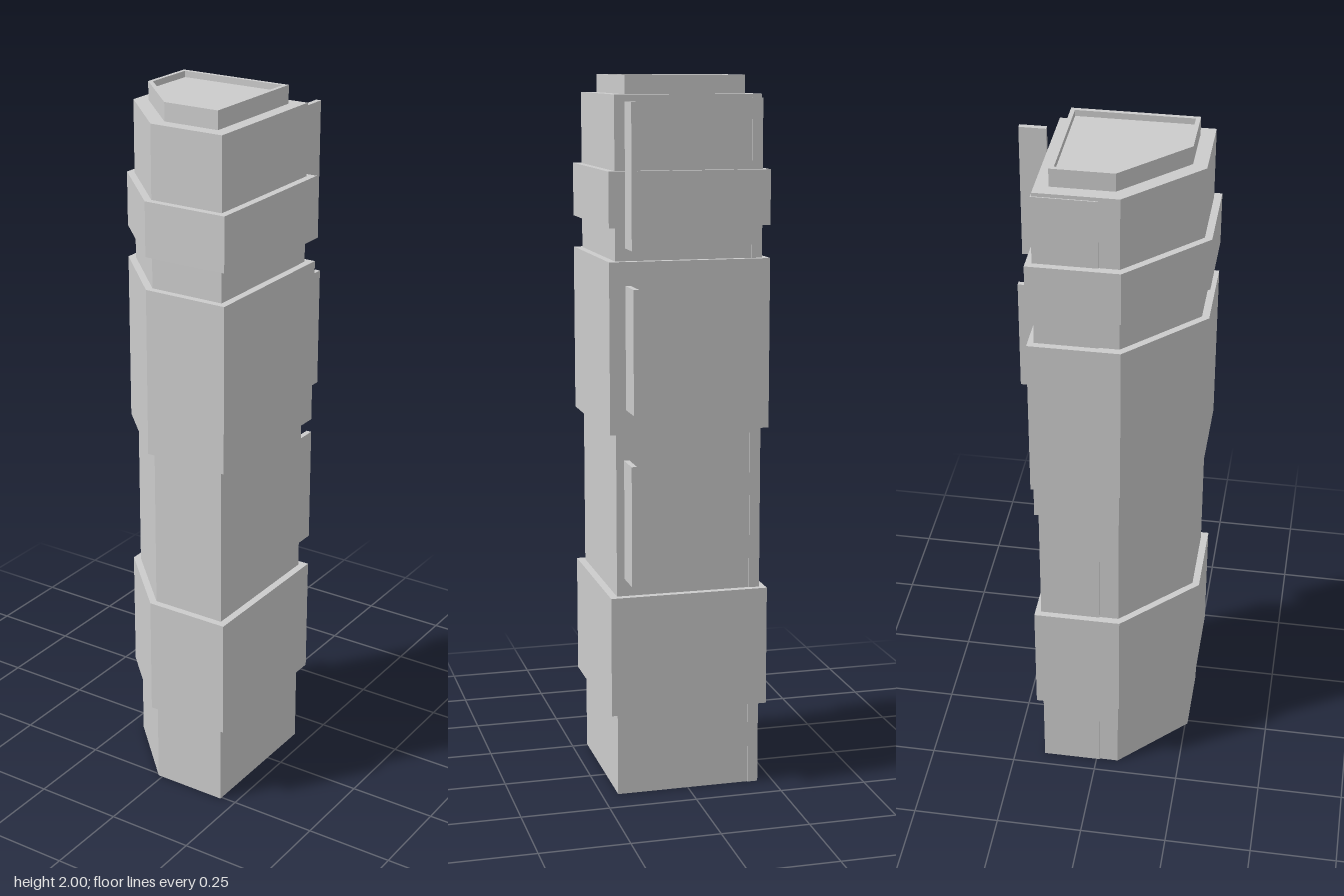
import * as THREE from 'three';

const material = new THREE.MeshStandardMaterial({ color: 0xcccccc, flatShading: true, side: THREE.DoubleSide });

// Square plan with one cut corner, as [x, z] points
const plan = (w, back, front, cutZ, cutX) => [[-w, cutZ], [cutX, front], [w, front], [w, back], [-w, back]];
const shaftPlan = plan(0.204, -0.157, 0.257, 0.065, -0.013);
const bandPlan = plan(0.225, -0.177, 0.277, 0.071, -0.02);
const rimPlan = plan(0.167, -0.12, 0.219, 0.048, 0.004);
const roofPlan = plan(0.155, -0.108, 0.207, 0.043, 0.008);

const toVectors = (points) => points.map(([x, z]) => new THREE.Vector2(x, -z));

// Upright prism from a plan, optionally hollow
function prism(outer, y0, y1, hole) {
  const shape = new THREE.Shape(toVectors(outer));
  if (hole) shape.holes.push(new THREE.Path(toVectors(hole)));
  const geometry = new THREE.ExtrudeGeometry(shape, { depth: y1 - y0, bevelEnabled: false });
  return geometry.rotateX(-Math.PI / 2).translate(0, y0, 0);
}

// Flat slab face from a plan
function slab(points, y) {
  return new THREE.ShapeGeometry(new THREE.Shape(toVectors(points))).rotateX(-Math.PI / 2).translate(0, y, 0);
}

// Open vertical walls following a plan
function walls(points, y0, y1) {
  const positions = [];
  points.forEach(([ax, az], i) => {
    const [bx, bz] = points[(i + 1) % points.length];
    positions.push(ax, y0, az, bx, y0, bz, bx, y1, bz, ax, y0, az, bx, y1, bz, ax, y1, az);
  });
  const geometry = new THREE.BufferGeometry();
  geometry.setAttribute('position', new THREE.Float32BufferAttribute(positions, 3));
  geometry.computeVertexNormals();
  return geometry;
}

export function createModel() {
  const model = new THREE.Group();
  model.name = 'tower';
  const add = (name, geometry) => {
    const mesh = new THREE.Mesh(geometry, material);
    mesh.name = name;
    model.add(mesh);
    return mesh;
  };

  // Main shaft, open underneath
  add('shaftWalls', walls(shaftPlan, 0, 1.95));
  add('shaftRoof', slab(shaftPlan, 1.95));

  // Projecting floor bands
  [[0.24, 0.58], [1.04, 1.51], [1.6, 1.75]].forEach(([y0, y1], i) =>
    add(`band${i + 1}`, prism(bandPlan, y0, y1, shaftPlan)));

  // Roof block with a sunken top
  add('roofRim', prism(rimPlan, 1.95, 2, roofPlan));
  add('roofDeck', slab(roofPlan, 1.983));

  // Thin cladding wrapped around the back corner
  const cladding = [[-0.207, 0.01], [-0.203, 0.01], [-0.203, -0.156], [-0.177, -0.156], [-0.177, -0.16], [-0.207, -0.16]];
  add('cornerCladding', prism(cladding, 0, 1.94));

  // Vertical sign blades behind the back wall: y range, z range
  [[0.63, 0.965, -0.25, -0.162], [1.11, 1.447, -0.278, -0.188], [1.547, 1.933, -0.262, -0.188]]
    .forEach(([y0, y1, z0, z1], i) => {
      const blade = add(`signBlade${i + 1}`, new THREE.BoxGeometry(0.015, y1 - y0, z1 - z0));
      blade.position.set(0.1755, (y0 + y1) / 2, (z0 + z1) / 2);
    });

  return model;
}
